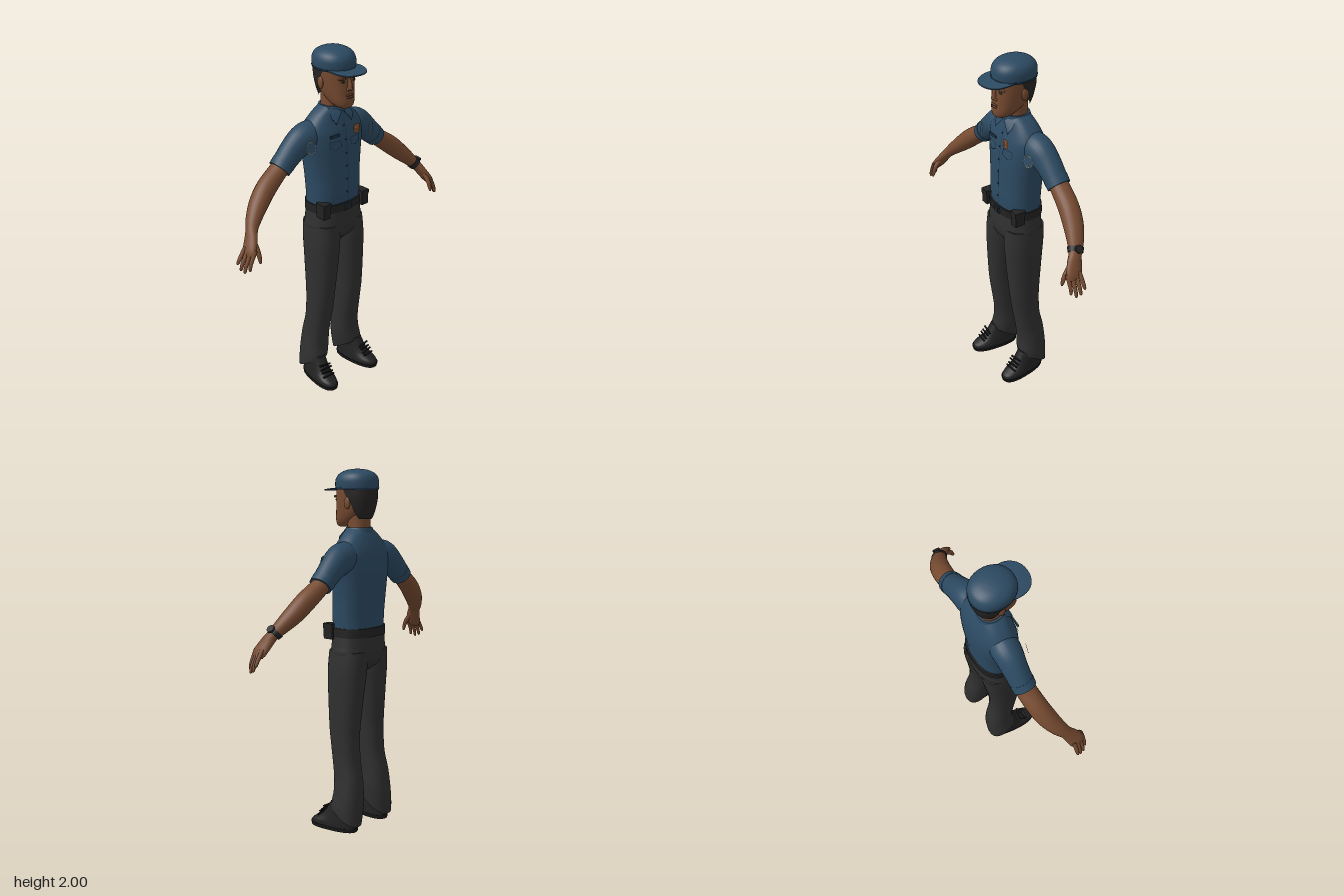
import * as THREE from 'three';

const mat = (name, color) => new THREE.MeshStandardMaterial({ name, color, side: THREE.DoubleSide });
const M = {
  shirt: mat('navy shirt', 0x2c4a62), seam: mat('dark navy trim', 0x1f374b),
  trousers: mat('charcoal trousers', 0x303030), leather: mat('black leather', 0x222222),
  sole: mat('sole black', 0x191919), skin: mat('brown skin', 0x774b31),
  lips: mat('lip brown', 0x5e3827), hair: mat('dark hair', 0x262423),
  badge: mat('copper badge', 0x96542a), cream: mat('cream piping', 0xb9ae8c),
};

// Catmull-Rom interpolation of every column of a table
function spline(rows, t) {
  const last = rows.length - 1, k = Math.min(Math.floor(t), last - 1), u = t - k;
  const r = i => rows[Math.max(0, Math.min(last, i))];
  return rows[0].map((_, c) => {
    const [a, b, d, e] = [r(k - 1)[c], r(k)[c], r(k + 1)[c], r(k + 2)[c]];
    return 0.5 * (2 * b + (d - a) * u + (2 * a - 5 * b + 4 * d - e) * u * u + (3 * b - a - 3 * d + e) * u ** 3);
  });
}

// Skin over rings of points; closed rings get end caps
function loft(rings, closed = true) {
  const pos = [], idx = [], n = rings[0].length;
  rings.forEach(r => r.forEach(p => pos.push(...p)));
  for (let i = 0; i < rings.length - 1; i++) for (let j = 0; j < (closed ? n : n - 1); j++) {
    const a = i * n + j, b = i * n + (j + 1) % n;
    idx.push(a, a + n, b, b, a + n, b + n);
  }
  if (closed) [rings[0], rings.at(-1)].forEach((r, end) => {
    const c = pos.length / 3;
    pos.push(...[0, 1, 2].map(k => r.reduce((s, p) => s + p[k], 0) / n));
    r.forEach(p => pos.push(...p));
    for (let j = 0; j < n; j++) {
      const a = c + 1 + j, b = c + 1 + (j + 1) % n;
      idx.push(c, end ? b : a, end ? a : b);
    }
  });
  const g = new THREE.BufferGeometry();
  g.setAttribute('position', new THREE.Float32BufferAttribute(pos, 3));
  g.setIndex(idx);
  g.computeVertexNormals();
  return g;
}

// Upright form, rows from bottom to top: [y, centre x, half width, back z, front z, half arc from the back]
function body(rows, { n = 2.2, seg = 32, steps = 4, arc = false } = {}) {
  const pw = v => Math.sign(v) * Math.abs(v) ** (2 / n), rings = [];
  for (let i = 0; i <= (rows.length - 1) * steps; i++) {
    const [y, cx, rx, zb, zf, a = Math.PI] = spline(rows, i / steps);
    rings.push(Array.from({ length: arc ? seg + 1 : seg }, (_, j) => {
      const th = a * (2 * j / seg - 1);
      return [cx + rx * pw(Math.sin(th)), y, (zb + zf) / 2 - (zf - zb) / 2 * pw(Math.cos(th))];
    }));
  }
  return loft(rings, !arc);
}

// Form along a path, rows: [x, y, z, radius in the front plane, radius in depth]
function limb(rows, seg = 18, steps = 5) {
  const rings = [], last = rows.length - 1, V = a => new THREE.Vector3(a[0], a[1], a[2]);
  for (let i = 0; i <= last * steps; i++) {
    const t = i / steps, p = spline(rows, t);
    const d = V(spline(rows, Math.min(last, t + 0.05))).sub(V(spline(rows, Math.max(0, t - 0.05)))).normalize();
    const b = new THREE.Vector3(0, 0, 1).addScaledVector(d, -d.z).normalize();
    const nrm = b.clone().cross(d);
    rings.push(Array.from({ length: seg }, (_, j) => {
      const f = -j / seg * Math.PI * 2;
      return V(p).addScaledVector(nrm, p[3] * Math.cos(f)).addScaledVector(b, p[4] * Math.sin(f)).toArray();
    }));
  }
  return loft(rings);
}

const TORSO = [
  [1.10, 0, .157, -.155, .068], [1.2, 0, .16, -.155, .073], [1.3, 0, .164, -.162, .07], [1.4, 0, .175, -.167, .067],
  [1.48, 0, .187, -.167, .062], [1.55, 0, .188, -.16, .052], [1.6, 0, .165, -.146, .037], [1.65, 0, .118, -.125, .022], [1.685, 0, .07, -.105, .015]];

// Depth of the shirt front at a point
function chestZ(x, y) {
  let k = 0;
  while (k < TORSO.length - 2 && TORSO[k + 1][0] < y) k++;
  const u = (y - TORSO[k][0]) / (TORSO[k + 1][0] - TORSO[k][0]);
  const [, , rx, zb, zf] = TORSO[k].map((v, c) => v + (TORSO[k + 1][c] - v) * u);
  return (zb + zf) / 2 + (zf - zb) / 2 * Math.max(0, 1 - Math.abs(x / rx) ** 2.4) ** (1 / 2.4);
}
const outline = pts => new THREE.Shape(pts.map(p => new THREE.Vector2(...p)));
function chestPlate(pts, lift = .005) {
  const g = new THREE.ShapeGeometry(outline(pts)), p = g.attributes.position;
  for (let i = 0; i < p.count; i++) p.setZ(i, chestZ(p.getX(i), p.getY(i)) + lift);
  g.computeVertexNormals();
  return g;
}
const rect = (x, y, w, h) => [[x - w / 2, y - h / 2], [x + w / 2, y - h / 2], [x + w / 2, y + h / 2], [x - w / 2, y + h / 2]];
const shield = s => [[0, -1.1], [.6, -.75], [.9, -.1], [.75, .55], [.9, .8], [.4, .85], [0, 1.05],
  [-.4, .85], [-.9, .8], [-.75, .55], [-.9, -.1], [-.6, -.75]].map(p => [p[0] * s, p[1] * s]);
const ball = (x, y, z, rx, ry, rz) => new THREE.SphereGeometry(1, 18, 12).scale(rx, ry, rz).translate(x, y, z);

function mirror(geo) {
  const g = geo.clone().scale(-1, 1, 1), i = g.index.array;
  for (let k = 0; k < i.length; k += 3) [i[k], i[k + 1]] = [i[k + 1], i[k]];
  g.computeVertexNormals();
  return g;
}

export function createModel() {
  const model = new THREE.Group();
  model.name = 'uniformedOfficer';
  const add = (name, geo, m) => {
    const mesh = new THREE.Mesh(geo, m);
    mesh.name = name;
    model.add(mesh);
  };
  const pair = (name, geo, m) => { add(name + 'Left', geo, m); add(name + 'Right', mirror(geo), m); };

  // Head and neck
  add('neck', body([[1.63, 0, .066, -.11, .01], [1.69, 0, .06, -.105, .018], [1.78, 0, .06, -.105, .02]]), M.skin);
  add('head', body([[1.69, 0, .028, .02, .08], [1.7, 0, .047, -.01, .092], [1.725, 0, .064, -.05, .096], [1.765, 0, .077, -.1, .093],
    [1.81, 0, .085, -.13, .09], [1.85, 0, .089, -.14, .088], [1.9, 0, .09, -.142, .086], [1.94, 0, .08, -.13, .07]], { n: 2.3 }), M.skin);
  add('hair', body([[1.735, 0, .077, -.112, .09, .75], [1.77, 0, .083, -.13, .093, 1.1], [1.81, 0, .09, -.14, .09, 1.3],
    [1.85, 0, .094, -.147, .088, 1.55], [1.91, 0, .095, -.148, .086, 1.75]], { n: 2.3, arc: true }), M.hair);
  add('noseBridge', limb([[0, 1.852, .084, .009, .008], [0, 1.825, .092, .011, .012], [0, 1.8, .093, .017, .014]], 12), M.skin);
  add('noseTip', ball(0, 1.8, .093, .015, .011, .016), M.skin);
  add('upperLip', ball(0, 1.764, .09, .026, .006, .012), M.lips);
  add('lowerLip', ball(0, 1.752, .09, .023, .007, .012), M.lips);
  pair('nostril', ball(.014, 1.796, .089, .009, .008, .011), M.skin);
  pair('browRidge', ball(.036, 1.853, .075, .03, .008, .014), M.skin);
  pair('eyebrow', ball(.038, 1.857, .081, .024, .003, .008), M.lips);
  pair('eye', ball(.036, 1.836, .08, .014, .005, .006), M.hair);
  pair('ear', ball(.09, 1.82, -.035, .01, .033, .02), M.skin);

  // Cap with peak
  add('cap', body([[1.893, 0, .104, -.15, .09], [1.915, 0, .107, -.152, .092], [1.945, 0, .106, -.15, .088], [1.972, 0, .092, -.135, .07],
    [1.991, 0, .062, -.1, .035], [1.999, 0, .025, -.06, -.005], [2, 0, .004, -.036, -.028]], { n: 2.1, seg: 40 }), M.shirt);
  add('capBand', body([[1.89, 0, .106, -.152, .092], [1.9, 0, .1085, -.154, .094]], { n: 2.1, seg: 40 }), M.seam);
  const brim = body([[1.897, 0, .1, -.04, .168], [1.903, 0, .1, -.04, .168]], { seg: 40, steps: 1 });
  const bp = brim.attributes.position;
  for (let i = 0; i < bp.count; i++) bp.setY(i, bp.getY(i) - .14 * Math.max(0, bp.getZ(i) - .07) - .5 * bp.getX(i) ** 2);
  brim.computeVertexNormals();
  add('capPeak', brim, M.shirt);

  // Shirt and its details
  add('shirtBody', body(TORSO, { n: 2.4, seg: 48 }), M.shirt);
  add('collarStand', body([[1.66, 0, .083, -.122, .026], [1.69, 0, .07, -.115, .024]]), M.shirt);
  pair('collarFlap', chestPlate([[.008, 1.665], [.055, 1.607], [.075, 1.64], [.068, 1.685]], .018), M.shirt);
  pair('collarEdge', chestPlate([[.008, 1.665], [.055, 1.607], [.075, 1.64], [.079, 1.638], [.056, 1.6], [.004, 1.663]], .0165), M.seam);
  for (let i = 0; i < 9; i++) add('placketSeam', chestPlate(rect(.008, 1.19 + i * .05, .004, .05), .004), M.seam);
  for (let i = 0; i < 6; i++) add('shirtButton', ball(0, 1.21 + i * .075, chestZ(0, 1.21 + i * .075) + .003, .005, .005, .004), M.seam);
  pair('pocketFlapEdge', chestPlate([[.034, 1.515], [.034, 1.478], [.07, 1.465], [.106, 1.478], [.106, 1.515]], .005), M.seam);
  pair('pocketFlap', chestPlate([[.037, 1.512], [.037, 1.481], [.07, 1.469], [.103, 1.481], [.103, 1.512]], .008), M.shirt);
  add('namePlate', new THREE.BoxGeometry(.062, .014, .008).translate(-.072, 1.543, .056), M.seam);
  add('badge', new THREE.ShapeGeometry(outline(shield(.027))).translate(.07, 1.558, .071), M.badge);
  add('badgeBoss', ball(.07, 1.56, .072, .012, .012, .004), M.cream);
  add('badgeCentre', ball(.07, 1.56, .074, .01, .01, .004), M.badge);

  // Shoulder patches: a pale outline around a shirt coloured shield
  const rim = outline(shield(.034));
  rim.holes.push(new THREE.Path(shield(.030).map(p => new THREE.Vector2(...p))));
  const place = g => g.rotateX(-.15).rotateY(.35).translate(.218, 1.51, .032);
  pair('patchRim', place(new THREE.ShapeGeometry(rim)), M.cream);
  pair('patchField', place(new THREE.ShapeGeometry(outline(shield(.03)))), M.shirt);

  // Sleeves and arms
  pair('sleeve', limb([[.07, 1.56, -.06, .07, .06], [.15, 1.535, -.063, .085, .078], [.2, 1.52, -.066, .083, .076],
    [.26, 1.48, -.07, .071, .068], [.345, 1.405, -.07, .057, .062]], 24), M.shirt);
  pair('sleeveCuff', limb([[.318, 1.43, -.07, .0625, .066], [.352, 1.4, -.07, .0585, .064]], 24, 2), M.shirt);
  pair('arm', limb([[.3, 1.445, -.07, .045, .05], [.36, 1.395, -.07, .047, .054], [.45, 1.33, -.058, .053, .056], [.52, 1.268, -.038, .049, .054],
    [.58, 1.21, -.008, .038, .044], [.615, 1.17, .018, .028, .035], [.64, 1.13, .04, .024, .042], [.668, 1.085, .06, .02, .045], [.682, 1.06, .065, .012, .037]], 22), M.skin);
  // Fingers fan from the knuckles
  [[.668, 1.07, .098, .7, .992, .1], [.676, 1.066, .077, .718, .98, .08],
    [.682, 1.068, .056, .724, .988, .056], [.684, 1.075, .036, .726, 1.015, .034]].forEach(([x, y, z, X, Y, Z]) =>
    pair('finger', limb([[x - .01, y + .025, z, .011, .012], [(x + X) / 2 + .007, (y + Y) / 2, (z + Z) / 2, .01, .0105],
      [X - .002, Y + .008, Z, .008, .008], [X, Y, Z, .003, .003]], 10, 4), M.skin));
  pair('thumb', limb([[.638, 1.125, .062, .014, .016], [.641, 1.08, .098, .013, .013], [.642, 1.04, .113, .01, .01], [.643, 1.022, .116, .004, .004]], 10, 4), M.skin);
  add('watchStrap', limb([[.598, 1.19, .004, .0385, .0445], [.614, 1.172, .016, .035, .0415]], 20, 2), M.leather);
  add('watchFace', new THREE.CylinderGeometry(.021, .021, .012, 20).rotateZ(-.8).translate(.636, 1.204, .012), M.leather);

  // Belt with buckle and pouches
  add('belt', body([[1.1, 0, .165, -.164, .077], [1.15, 0, .164, -.163, .08]], { n: 2.4, seg: 48, steps: 1 }), M.leather);
  add('buckle', new THREE.BoxGeometry(.046, .04, .008).translate(0, 1.125, .082), M.seam);
  add('bucklePlate', new THREE.BoxGeometry(.034, .028, .008).translate(0, 1.125, .084), M.leather);
  pair('pouch', new THREE.BoxGeometry(.048, .08, .06).translate(.142, 1.125, .04), M.leather);
  pair('pouchFlap', new THREE.BoxGeometry(.053, .028, .066).translate(.142, 1.157, .04), M.leather);

  // Trousers
  add('trouserSeat', body([[.91, 0, .06, -.11, .03], [.95, 0, .13, -.15, .067], [1.0, 0, .17, -.161, .079], [1.05, 0, .167, -.16, .078], [1.11, 0, .16, -.158, .072]], { n: 2.4, seg: 40 }), M.trousers);
  const leg = body([[.07, .138, .073, -.155, .018], [.12, .133, .077, -.158, .018], [.2, .123, .077, -.158, .012], [.3, .117, .07, -.148, .017],
    [.4, .111, .069, -.126, .032], [.5, .108, .07, -.12, .048], [.6, .106, .072, -.122, .06], [.8, .096, .082, -.14, .074], [.92, .09, .087, -.152, .078], [1.02, .086, .083, -.155, .072]], { n: 2.3, seg: 32 });
  const lp = leg.attributes.position;
  for (let i = 0; i < lp.count; i++) { // the hem rises over the instep
    const k = Math.max(0, (.3 - lp.getY(i)) / .23);
    lp.setY(i, lp.getY(i) + k * (lp.getZ(i) + .1) * .62);
  }
  leg.computeVertexNormals();
  pair('trouserLeg', leg, M.trousers);

  // Shoes, toed out slightly
  const toe = g => g.rotateY(.13).translate(.15, 0, 0);
  pair('shoeSole', toe(body([[0, 0, .058, -.137, .155], [.022, 0, .061, -.139, .16]], { n: 2.5, steps: 1 })), M.sole);
  pair('shoeUpper', toe(body([[.02, 0, .059, -.136, .156], [.04, 0, .058, -.135, .148], [.056, 0, .056, -.133, .118], [.075, 0, .054, -.13, .085],
    [.11, 0, .05, -.125, .055], [.16, 0, .045, -.12, .025]], { n: 2.4 })), M.leather);
  for (let i = 0; i < 4; i++)
    pair('shoelace', toe(new THREE.BoxGeometry(.075, .007, .009).rotateZ(i % 2 ? .08 : -.08).translate(0, .072 + i * .017, .098 - i * .013)), M.sole);
  return model;
}
